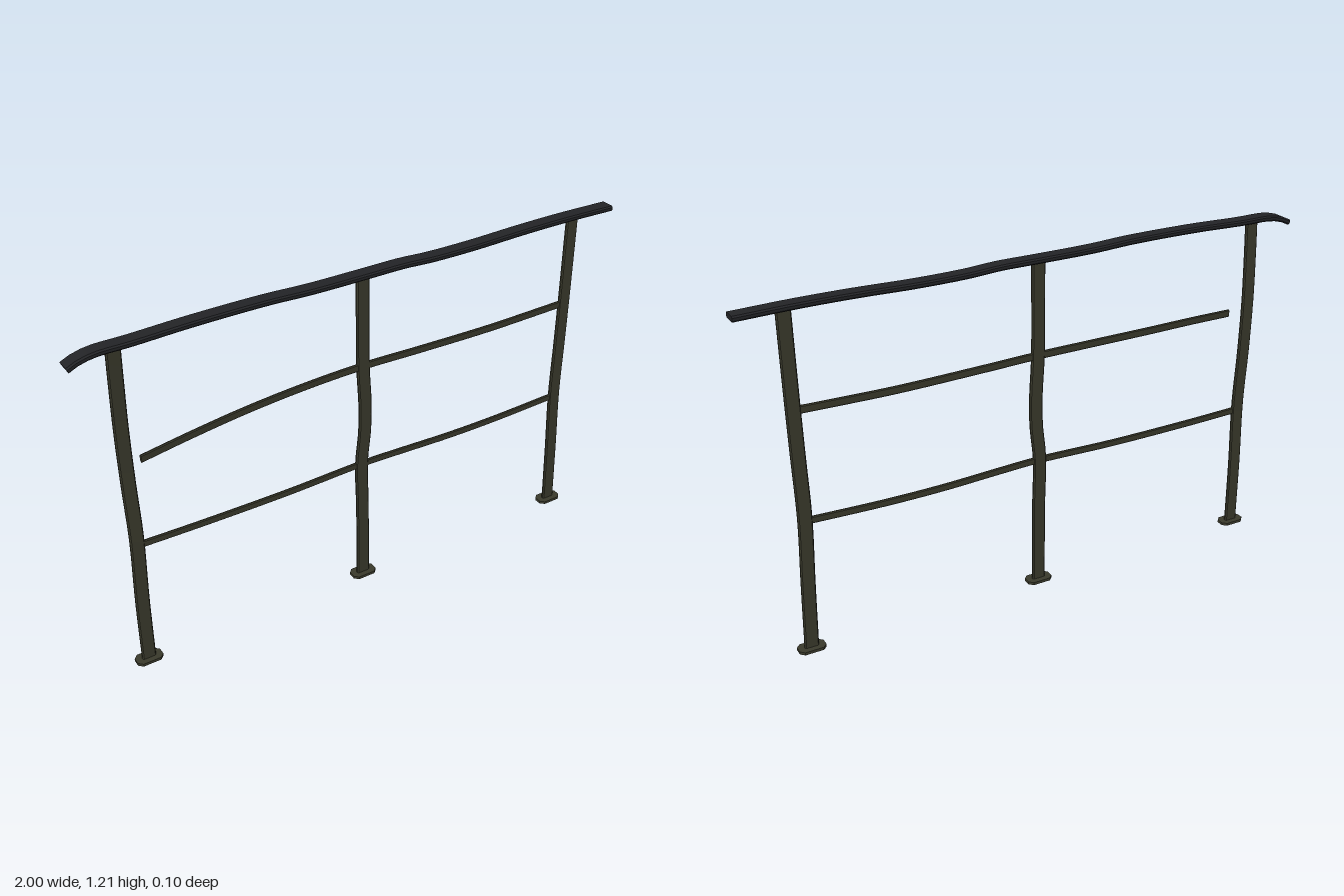
import * as THREE from 'three';
import { toCreasedNormals } from 'three/addons/utils/BufferGeometryUtils.js';

const Z = -0.021; // depth of the fence plane

// Sweep a chamfered flat bar along a curve; w lies in the fence plane, d across it.
function sweptBar(path, w, d, chamfer, steps) {
  const curve = new THREE.CatmullRomCurve3(path.map(([x, y, z = Z]) => new THREE.Vector3(x, y, z)));
  const a = w / 2, b = d / 2, c = chamfer;
  const section = [[a, -b + c], [a, b - c], [a - c, b], [-a + c, b],
    [-a, b - c], [-a, -b + c], [-a + c, -b], [a - c, -b]];
  const n = section.length, pos = [], idx = [];
  for (let i = 0; i <= steps; i++) {
    const p = curve.getPointAt(i / steps), t = curve.getTangentAt(i / steps);
    const across = new THREE.Vector3(0, 0, 1).addScaledVector(t, -t.z).normalize();
    const normal = new THREE.Vector3().crossVectors(across, t);
    for (const [u, v] of section) {
      const q = p.clone().addScaledVector(normal, u).addScaledVector(across, v);
      pos.push(q.x, q.y, q.z);
    }
  }
  for (let i = 0; i < steps; i++) {
    for (let j = 0; j < n; j++) {
      const k = (j + 1) % n, r = i * n, s = r + n;
      idx.push(r + j, r + k, s + j, r + k, s + k, s + j);
    }
  }
  // end caps
  const last = steps * n;
  for (let j = 1; j < n - 1; j++) idx.push(0, j + 1, j, last, last + j, last + j + 1);
  const geo = new THREE.BufferGeometry();
  geo.setAttribute('position', new THREE.Float32BufferAttribute(pos, 3));
  geo.setIndex(idx);
  return toCreasedNormals(geo, 0.5);
}

// Foot plate with cut corners, lying on the ground
function plateGeometry(w, d, h, c) {
  const a = w / 2, b = d / 2;
  const shape = new THREE.Shape([[a, -b + c], [a, b - c], [a - c, b], [-a + c, b],
    [-a, b - c], [-a, -b + c], [-a + c, -b], [a - c, -b]].map(([x, y]) => new THREE.Vector2(x, y)));
  return new THREE.ExtrudeGeometry(shape, { depth: h, bevelEnabled: false }).rotateX(-Math.PI / 2);
}

export function createModel() {
  const group = new THREE.Group();
  const metal = new THREE.MeshStandardMaterial({ color: 0x3a3a2c });
  metal.name = 'dark olive metal';
  const black = new THREE.MeshStandardMaterial({ color: 0x232427 });
  black.name = 'black handrail';

  const add = (name, geometry, material) => {
    const mesh = new THREE.Mesh(geometry, material);
    mesh.name = name;
    group.add(mesh);
    return mesh;
  };

  // Bent upright posts, each on its foot plate
  const posts = {
    rightPost: [[-0.848, 0], [-0.848, 0.25], [-0.843, 0.5, -0.022], [-0.846, 0.7, -0.029],
      [-0.848, 0.9, -0.031], [-0.848, 1.05, -0.027], [-0.848, 1.185]],
    middlePost: [[-0.007, 0], [-0.008, 0.3], [-0.011, 0.48], [0.002, 0.61],
      [0.003, 0.72], [-0.004, 0.85], [-0.005, 1.185]],
    leftPost: [[0.842, 0], [0.836, 0.25], [0.829, 0.48], [0.834, 0.7], [0.838, 0.9], [0.842, 1.185]],
  };
  for (const [name, path] of Object.entries(posts)) {
    add(name, sweptBar(path, 0.048, 0.014, 0.004, 32), metal);
    add(name + 'Foot', plateGeometry(0.092, 0.054, 0.01, 0.014), metal).position.set(path[0][0], 0, Z);
  }

  // Upper bar, torn loose from one end post and bent forward
  add('upperBar', sweptBar([[-0.825, 0.829, 0.043], [-0.65, 0.84, 0.022], [-0.45, 0.849, 0],
    [-0.22, 0.856, -0.015], [0, 0.858], [0.2, 0.853], [0.5, 0.848], [0.7, 0.851], [0.835, 0.854]],
  0.027, 0.01, 0.003, 40), metal);

  // Lower bar
  add('lowerBar', sweptBar([[-0.84, 0.471], [-0.6, 0.467], [-0.3, 0.467], [0, 0.475],
    [0.15, 0.471], [0.35, 0.464], [0.55, 0.464], [0.83, 0.473]], 0.025, 0.01, 0.003, 40), metal);

  // Wavy handrail with a drooping end
  add('handrail', sweptBar([[-0.996, 1.163], [-0.96, 1.179], [-0.91, 1.189], [-0.8, 1.19], [-0.6, 1.196],
    [-0.35, 1.196], [-0.2, 1.19], [0, 1.189], [0.14, 1.189], [0.25, 1.183], [0.42, 1.182],
    [0.62, 1.187], [0.8, 1.188], [1, 1.184]], 0.019, 0.054, 0.005, 60), black);

  return group;
}
